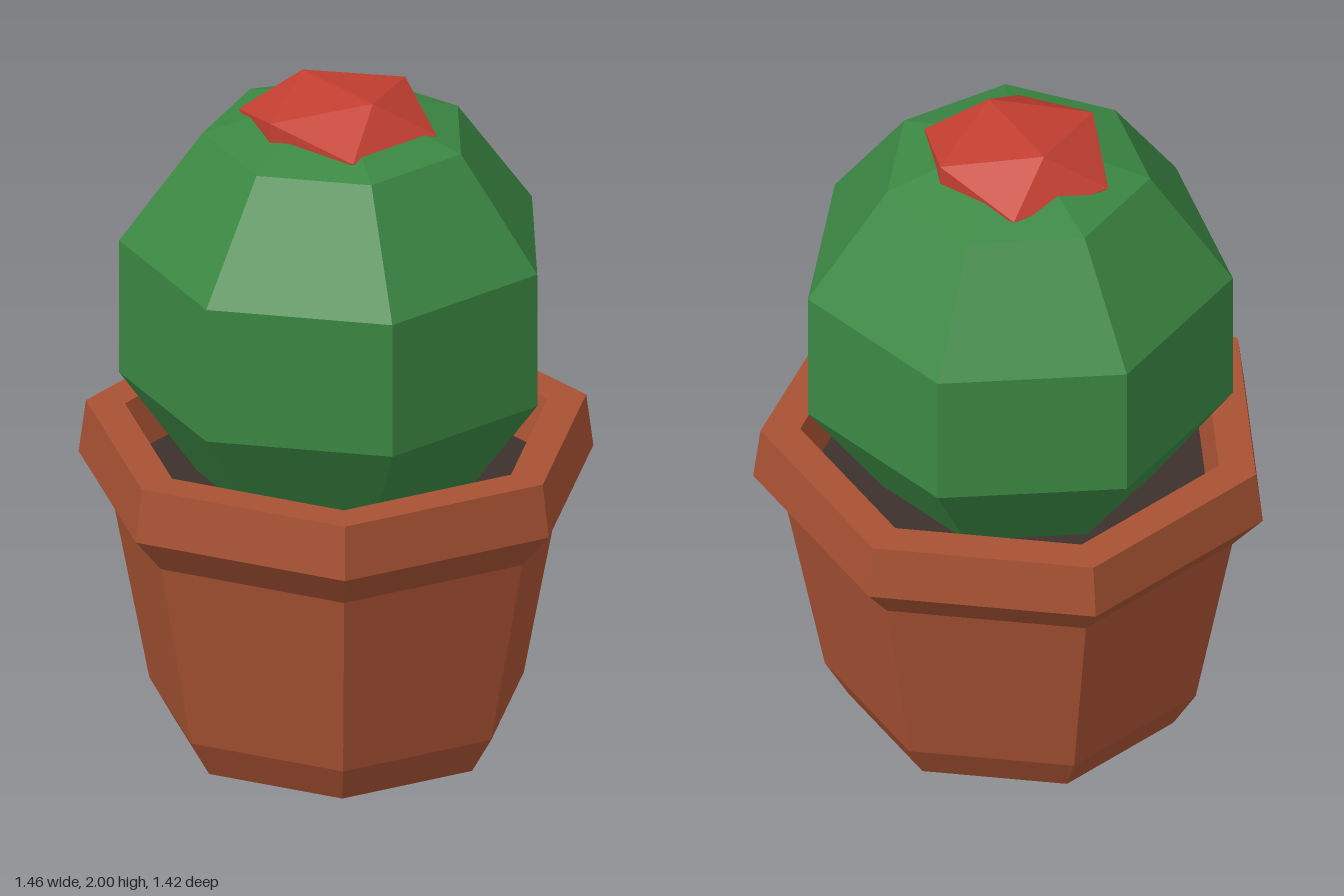
import * as THREE from 'three';

const CENTER_Z = -0.04;
const SIDES = 7;

const terracotta = new THREE.MeshStandardMaterial({ color: 0xa85233 });
terracotta.name = 'terracotta';
const green = new THREE.MeshStandardMaterial({ color: 0x3b8843 });
green.name = 'cactus green';
const red = new THREE.MeshStandardMaterial({ color: 0xc43f31 });
red.name = 'flower red';
const earth = new THREE.MeshStandardMaterial({ color: 0x3c312b });
earth.name = 'dark earth';

// Mesh with faceted normals
function facetedMesh(name, geometry, material, y = 0) {
  const flat = geometry.index ? geometry.toNonIndexed() : geometry;
  flat.computeVertexNormals();
  const mesh = new THREE.Mesh(flat, material);
  mesh.name = name;
  mesh.position.set(0, y, CENTER_Z);
  return mesh;
}

function lathe(profile) {
  return new THREE.LatheGeometry(profile.map(([r, y]) => new THREE.Vector2(r, y)), SIDES);
}

export function createModel() {
  const group = new THREE.Group();
  group.name = 'pottedCactus';

  // Seven-sided pot: base, chamfer, tapered wall, rim, inner wall
  group.add(facetedMesh('pot', lathe([
    [0, 0], [0.477, 0], [0.545, 0.115], [0.656, 0.69], [0.749, 0.8],
    [0.728, 0.96], [0.615, 0.96], [0.58, 0.78],
  ]), terracotta));

  // Soil surface inside the pot
  group.add(facetedMesh('soil', lathe([[0.586, 0.81], [0, 0.81]]), earth));

  // Low-poly globe cactus
  const body = new THREE.SphereGeometry(0.652, SIDES, 5).scale(1, 1.017, 1);
  group.add(facetedMesh('cactusBody', body, green, 1.325));

  // Squashed faceted flower on top
  const bloom = new THREE.IcosahedronGeometry(0.295, 0).scale(1, 0.44, 1);
  group.add(facetedMesh('flower', bloom, red, 1.89));

  return group;
}
